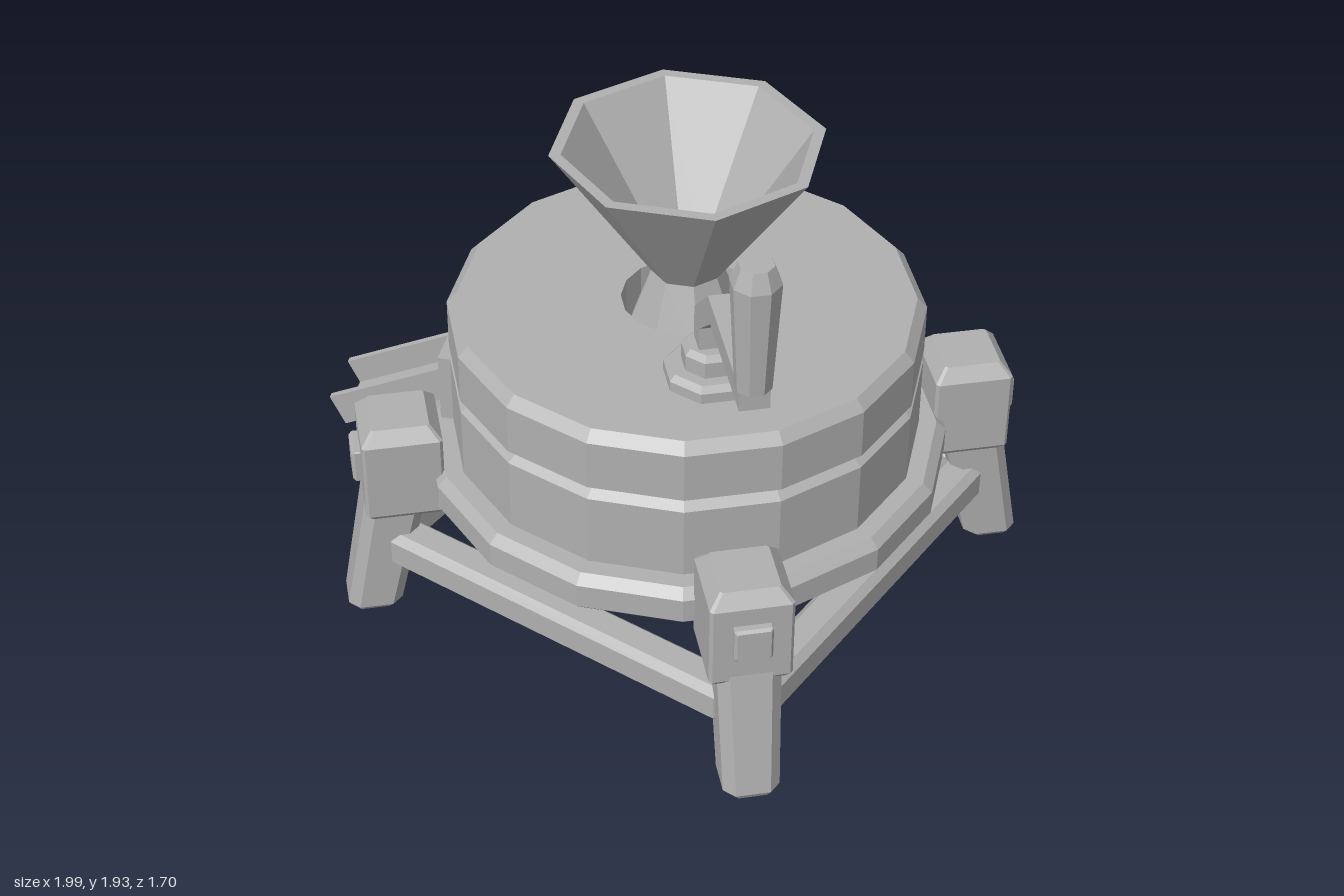
import * as THREE from 'three';

const stone = new THREE.MeshStandardMaterial({ color: 0xb0b0b0 });
stone.name = 'plain grey';

// Faceted mesh: every face keeps its own normal
function part(name, geometry, parent, x = 0, y = 0, z = 0) {
  const g = geometry.index ? geometry.toNonIndexed() : geometry;
  g.computeVertexNormals();
  const mesh = new THREE.Mesh(g, stone);
  mesh.name = name;
  mesh.position.set(x, y, z);
  parent.add(mesh);
  return mesh;
}

function group(name, parent) {
  const g = new THREE.Group();
  g.name = name;
  parent.add(g);
  return g;
}

const lathe = (points, sides, start = Math.PI / sides) =>
  new THREE.LatheGeometry(points.map(p => new THREE.Vector2(...p)), sides, start);

// Loft of chamfered squares; each section is [y, half side, chamfer, x offset]
function loft(sections) {
  const pos = [], idx = [];
  for (const [y, s, c, ox = 0] of sections) {
    const e = s - c;
    for (const [x, z] of [[s, -e], [s, e], [e, s], [-e, s], [-s, e], [-s, -e], [-e, -s], [e, -s]])
      pos.push(x + ox, y, z);
  }
  for (let i = 0; i < sections.length - 1; i++)
    for (let k = 0; k < 8; k++) {
      const a = i * 8 + k, b = i * 8 + (k + 1) % 8;
      idx.push(a, a + 8, b, b, a + 8, b + 8);
    }
  const top = (sections.length - 1) * 8;
  for (let k = 1; k < 7; k++) idx.push(0, k, k + 1, top, top + k + 1, top + k);
  const g = new THREE.BufferGeometry();
  g.setAttribute('position', new THREE.Float32BufferAttribute(pos, 3));
  g.setIndex(idx);
  return g;
}

export function createModel() {
  const root = new THREE.Group();
  root.name = 'handMill';
  const mill = group('mill', root);
  mill.position.x = 0.145;

  // Grinding stones on a ring-shaped tray
  part('trayRing', lathe([[0.54, 0.47], [0.84, 0.47], [0.857, 0.487], [0.857, 0.57], [0.825, 0.6],
    [0.54, 0.6], [0.54, 0.47]], 16), mill);
  part('lowerStone', lathe([[0, 0.592], [0.767, 0.592], [0.767, 0.848], [0.735, 0.872], [0, 0.872]], 16), mill);
  part('upperStone', lathe([[0.21, 0.872], [0.735, 0.872], [0.767, 0.895], [0.767, 1.065], [0.735, 1.1],
    [0.21, 1.1], [0.21, 0.872]], 16), mill);

  // Open funnel with a flared neck
  part('hopper', lathe([[0.08, 0.98], [0.2, 0.98], [0.115, 1.215], [0.433, 1.68], [0.395, 1.68],
    [0.08, 1.215], [0.08, 0.98]], 8, 0), mill);

  // Corner legs, each facing outward along a diagonal
  for (const sx of [-1, 1]) for (const sz of [-1, 1]) {
    const leg = group('cornerLeg', mill);
    leg.rotation.y = Math.atan2(-sz, sx);
    part('leg', loft([[0, 0.075, 0.03, 1.065], [0.02, 0.09, 0.035, 1.06], [0.5, 0.102, 0.035, 0.962]]), leg);
    part('legBlock', loft([[0.42, 0.115, 0.008], [0.44, 0.13, 0.01], [0.72, 0.13, 0.01], [0.765, 0.093, 0.008]]),
      leg, 0.942);
    const peg = part('peg', loft([[0, 0.06, 0.004], [0.04, 0.06, 0.004], [0.05, 0.052, 0.004]]), leg, 1.052, 0.598);
    peg.rotation.z = -Math.PI / 2;
  }

  // Stretcher beams between the legs
  for (let i = 0; i < 4; i++) {
    const side = group('stretcher', mill);
    side.rotation.y = i * Math.PI / 2;
    const beam = part('stretcherBeam', loft([[-0.655, 0.05, 0.02], [-0.635, 0.067, 0.025],
      [0.635, 0.067, 0.025], [0.655, 0.05, 0.02]]), side, 0, 0.258, 0.71);
    beam.rotation.z = Math.PI / 2;
  }

  // Sloping spout with a door frame at the stone
  const spout = group('spout', mill);
  spout.rotation.y = Math.atan2(-Math.sin(Math.PI / 8), -Math.cos(Math.PI / 8));
  const trough = group('trough', spout);
  trough.position.set(1.19, 0.575, 0);
  trough.rotation.z = -25 * Math.PI / 180;
  part('troughFloor', new THREE.BoxGeometry(0.52, 0.025, 0.2), trough, -0.26, -0.1025, 0);
  for (const s of [-1, 1]) {
    part('troughWall', new THREE.BoxGeometry(0.52, 0.115, 0.022), trough, -0.26, -0.0575, s * 0.1);
    part('framePost', new THREE.BoxGeometry(0.1, 0.245, 0.045), spout, 0.738, 0.7225, s * 0.143);
  }
  part('frameLintel', new THREE.BoxGeometry(0.1, 0.037, 0.245), spout, 0.738, 0.8265, 0);

  // Crank: hub, bent arm and grip, running out along the diagonal
  const crank = group('crank', root);
  crank.position.set(0.437, 0, 0.3);
  crank.rotation.y = -Math.PI / 4;
  part('hubPlate', lathe([[0, 1.09], [0.148, 1.09], [0.148, 1.135], [0.13, 1.155], [0, 1.155]], 8), crank);
  part('hubNut', lathe([[0, 1.15], [0.092, 1.15], [0.092, 1.21], [0.075, 1.23], [0, 1.23]], 8), crank);
  const arm = new THREE.Shape([[-0.039, 1.2], [0.039, 1.2], [0.039, 1.31], [0.2, 1.445], [0.617, 1.445],
    [0.617, 1.52], [0.16, 1.52], [-0.039, 1.34]].map(p => new THREE.Vector2(...p)));
  part('crankArm', new THREE.ExtrudeGeometry(arm, { depth: 0.09, bevelEnabled: false }), crank, 0, 0, -0.045);
  part('crankGrip', lathe([[0, 1.51], [0.055, 1.51], [0.075, 1.87], [0.052, 1.93], [0, 1.93]], 8), crank, 0.59);

  return root;
}
